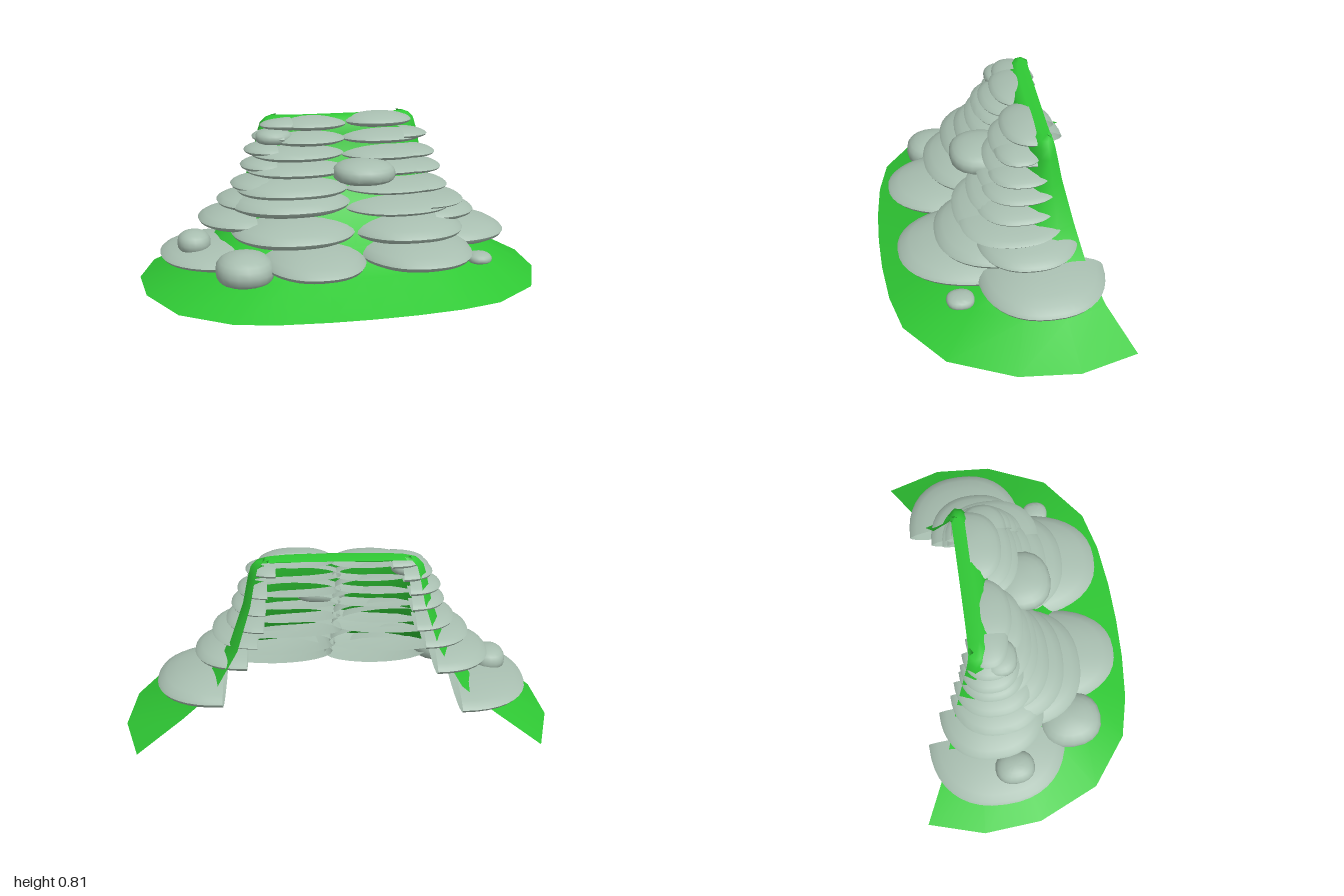
import * as THREE from 'three';
import { toCreasedNormals } from 'three/addons/utils/BufferGeometryUtils.js';

const grass = new THREE.MeshStandardMaterial({ color: 0x2fc834, side: THREE.DoubleSide });
const stone = new THREE.MeshStandardMaterial({ color: 0xa8beb0, side: THREE.DoubleSide });

// Open-backed hill: one outline lofted through levels of [y, halfWidth, frontZ, backZ]
function hill() {
  const half = [[0.92, 0], [1, 0.245], [0.98, 0.5], [0.85, 0.77], [0.62, 0.93], [0.42, 0.975], [0.2, 0.995]];
  const outline = [...half, [0, 1], ...half.slice().reverse().map(([x, t]) => [-x, t])];
  const levels = [
    [0, 1, 0.55, -0.55], [0.115, 0.78, 0.33, -0.445], [0.22, 0.62, 0.16, -0.385], [0.4, 0.5, 0.01, -0.335],
    [0.6, 0.43, -0.08, -0.285], [0.72, 0.405, -0.11, -0.262], [0.77, 0.39, -0.12, -0.252],
    [0.795, 0.365, -0.14, -0.245], [0.808, 0.33, -0.175, -0.235], [0.795, 0.34, -0.24, -0.245],
  ];
  const pos = [], idx = [], n = outline.length;
  for (const [y, w, f, b] of levels)
    for (const [x, t] of outline) pos.push(x * w, y, b + (f - b) * t);
  for (let j = 0; j < levels.length - 1; j++)
    for (let i = 0; i < n - 1; i++) {
      const a = j * n + i, c = a + n;
      idx.push(a, c, a + 1, a + 1, c, c + 1);
    }
  const g = new THREE.BufferGeometry();
  g.setAttribute('position', new THREE.Float32BufferAttribute(pos, 3));
  g.setIndex(idx);
  g.computeVertexNormals();
  return g;
}

// Lens-shaped shell filling a box, between the angles start and start + sweep, open on the cut side.
// dome and belly set how pointed the top and the underside are.
function slab([x0, x1, y0, y1, z0, z1], start, sweep, dome, belly) {
  const g = new THREE.SphereGeometry(1, 20, 12, start, sweep);
  const p = g.attributes.position;
  g.computeBoundingBox();
  const { min, max } = g.boundingBox;
  const square = (u) => Math.sign(u) * Math.pow(Math.abs(u), 0.87);
  const fit = (u, lo, hi, a, b) => a + ((b - a) * (u - lo)) / (hi - lo);
  const rim = y0 + (y1 - y0) * 0.45;
  for (let i = 0; i < p.count; i++) {
    const r = Math.hypot(p.getX(i), p.getZ(i)) || 1;
    const x = r * square(p.getX(i) / r), z = r * square(p.getZ(i) / r), y = p.getY(i);
    const h = Math.pow(Math.abs(y), y > 0 ? dome : belly);
    p.setXYZ(i, fit(x, min.x, max.x, x0, x1), rim + ((y > 0 ? y1 : y0) - rim) * h, fit(z, min.z, max.z, z0, z1));
  }
  return toCreasedNormals(g, 0.7);
}

export function createModel() {
  const model = new THREE.Group();
  const add = (name, geometry, material) => {
    const m = new THREE.Mesh(geometry, material);
    m.name = name;
    model.add(m);
  };
  const addHalves = (name, start, boxes) =>
    boxes.forEach((b) => add(name, slab(b, start, Math.PI, 1.3, 1), stone));
  add('hill', hill(), grass);

  // Slabs on the left (+x) flank
  addHalves('leftSlab', Math.PI / 2, [
    [0.53, 0.85, 0.13, 0.275, -0.465, 0.12],
    [0.42, 0.67, 0.27, 0.38, -0.355, 0.11],
    [0.37, 0.59, 0.365, 0.43, -0.3, 0.18],
    [0.34, 0.52, 0.43, 0.5, -0.275, 0.1],
    [0.33, 0.49, 0.52, 0.585, -0.28, 0.07],
    [0.32, 0.46, 0.595, 0.655, -0.25, 0.04],
    [0.28, 0.42, 0.685, 0.745, -0.21, 0.01],
  ]);

  // Slabs on the right (-x) flank
  addHalves('rightSlab', -Math.PI / 2, [
    [-0.9, -0.56, 0.1, 0.22, -0.495, 0.17],
    [-0.71, -0.45, 0.265, 0.38, -0.42, 0.08],
    [-0.62, -0.4, 0.37, 0.46, -0.355, 0.08],
    [-0.55, -0.36, 0.45, 0.53, -0.33, 0.04],
    [-0.5, -0.34, 0.54, 0.62, -0.3, 0.0],
    [-0.48, -0.33, 0.615, 0.69, -0.29, -0.02],
    [-0.44, -0.3, 0.68, 0.755, -0.275, -0.03],
    [-0.4, -0.25, 0.74, 0.8, -0.25, -0.06],
  ]);

  // Slabs along the front, two per course
  addHalves('frontSlab', 0, [
    [0.01, 0.58, 0.12, 0.265, 0.06, 0.465], [-0.46, 0.05, 0.11, 0.25, 0.07, 0.48],
    [0, 0.57, 0.21, 0.345, -0.02, 0.29], [-0.57, 0.03, 0.22, 0.355, -0.02, 0.29],
    [-0.03, 0.53, 0.335, 0.425, -0.08, 0.2], [-0.57, 0.02, 0.35, 0.48, -0.08, 0.2],
    [-0.02, 0.49, 0.43, 0.505, -0.11, 0.13], [-0.53, 0.02, 0.42, 0.53, -0.11, 0.13],
    [-0.02, 0.46, 0.515, 0.59, -0.14, 0.08], [-0.48, 0.03, 0.52, 0.605, -0.14, 0.08],
    [-0.02, 0.43, 0.585, 0.66, -0.16, 0.05], [-0.45, 0.01, 0.595, 0.675, -0.16, 0.05],
    [-0.02, 0.41, 0.665, 0.74, -0.17, 0.02], [-0.36, 0.02, 0.665, 0.74, -0.17, 0.02],
    [0.01, 0.36, 0.74, 0.815, -0.18, -0.03], [-0.32, 0.03, 0.735, 0.805, -0.18, -0.03],
  ]);

  // Loose rounder boulders
  [
    [-0.08, 0.22, 0.5, 0.62, -0.1, 0.19],
    [-0.67, -0.4, 0.09, 0.245, 0.05, 0.36],
    [-0.82, -0.66, 0.17, 0.28, -0.19, 0],
    [0.55, 0.67, 0.11, 0.165, 0.14, 0.27],
    [-0.43, -0.25, 0.68, 0.755, -0.19, -0.03],
  ].forEach((b) => add('boulder', slab(b, 0, Math.PI * 2, 0.8, 0.65), stone));

  return model;
}
